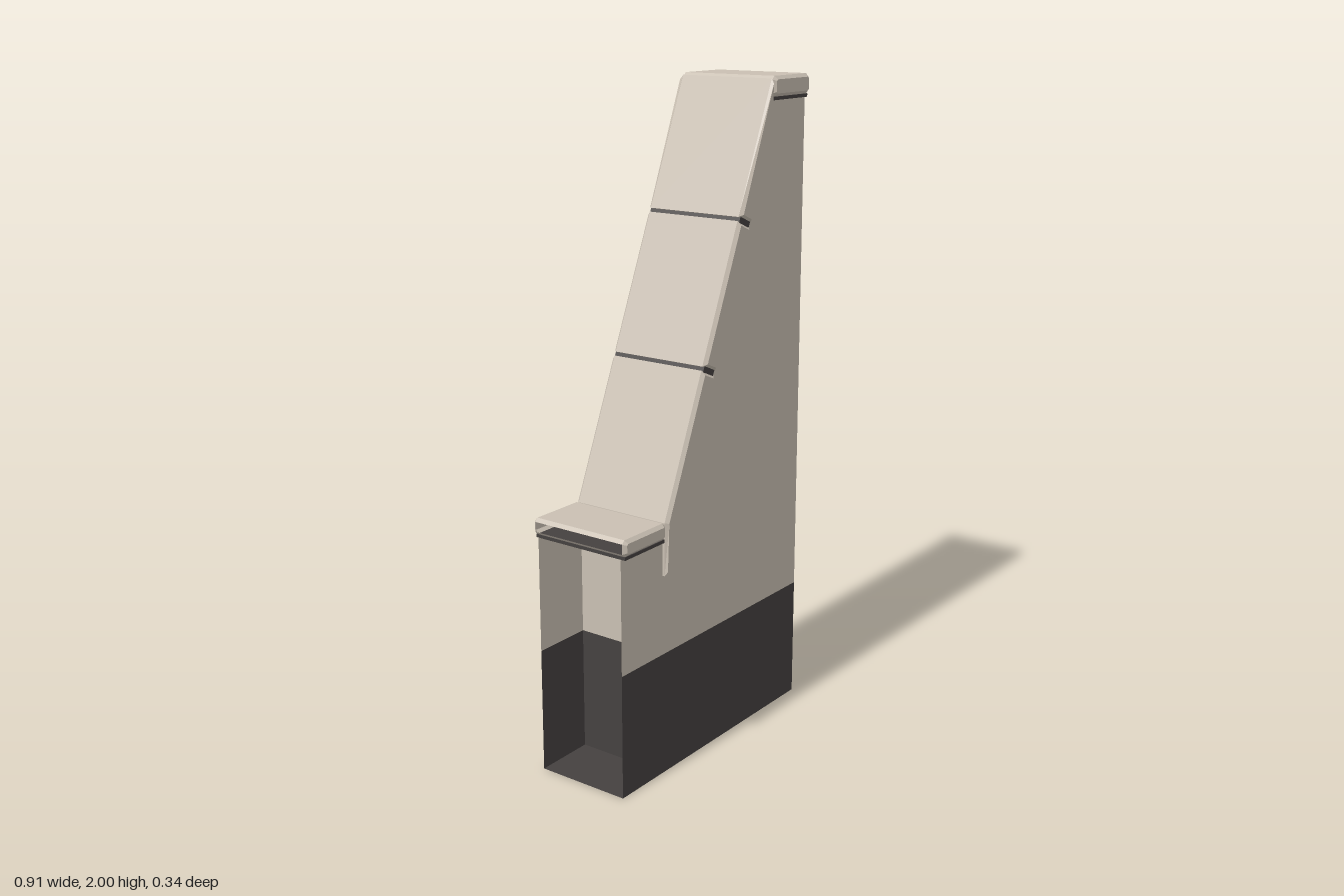
import * as THREE from 'three';

const beige = new THREE.MeshStandardMaterial({ name: 'stone', color: 0xcac0b3, side: THREE.DoubleSide });
const dark = new THREE.MeshStandardMaterial({ name: 'darkPlinth', color: 0x454140, side: THREE.DoubleSide });

const HX = 0.45, HZ = 0.15, INNER = 0.26, PLINTH = 0.38, CAP_Z = 0.168, BEVEL = 0.01;

function shapeOf(points) {
  return new THREE.Shape(points.map(([x, y]) => new THREE.Vector2(x, y)));
}

// Chamfered slab with an outline in the x-y plane, centred on z = 0
function slab(points) {
  const depth = 2 * (CAP_Z - BEVEL);
  const geo = new THREE.ExtrudeGeometry(shapeOf(points), {
    depth, bevelEnabled: true, bevelSegments: 1,
    bevelThickness: BEVEL, bevelSize: BEVEL, bevelOffset: -BEVEL,
  });
  geo.translate(0, 0, -depth / 2);
  return geo;
}

// Remove the flat end face lying on the plane x = endX
function openEnd(geo, endX) {
  const p = geo.attributes.position;
  const kept = [];
  for (let i = 0; i < p.count; i += 3) {
    const onEnd = [0, 1, 2].every((k) => Math.abs(p.getX(i + k) - endX) < 1e-4);
    if (onEnd) continue;
    for (let k = 0; k < 3; k++) kept.push(p.getX(i + k), p.getY(i + k), p.getZ(i + k));
  }
  const out = new THREE.BufferGeometry();
  out.setAttribute('position', new THREE.Float32BufferAttribute(kept, 3));
  out.computeVertexNormals();
  return out;
}

export function createModel() {
  const group = new THREE.Group();
  const add = (name, geo, mat) => {
    const mesh = new THREE.Mesh(geo, mat);
    mesh.name = name;
    group.add(mesh);
    return mesh;
  };

  // Side walls with a dark plinth; both ends stay open
  const wallOutline = [
    [-HX, PLINTH], [HX, PLINTH], [HX, 1.93], [INNER, 1.93],
    [INNER, 1.86], [-INNER, 0.66], [-INNER, 0.73], [-HX, 0.73],
  ];
  for (const [side, s] of [['front', 1], ['back', -1]]) {
    const wall = add(side + 'Wall', new THREE.ShapeGeometry(shapeOf(wallOutline)), beige);
    wall.position.z = s * HZ;
    const plinth = add(side + 'Plinth', new THREE.PlaneGeometry(2 * HX, PLINTH), dark);
    plinth.position.set(0, PLINTH / 2, s * HZ);
    if (s < 0) {
      // turn the plane outward; the wall keeps its outline and flips its winding
      plinth.rotation.y = Math.PI;
      wall.geometry.index.array.reverse();
      wall.geometry.computeVertexNormals();
    }
  }
  const floor = add('floor', new THREE.PlaneGeometry(2 * HX, 2 * HZ), dark);
  floor.rotation.x = Math.PI / 2;

  // Cross walls, end caps and the shadow gaps beneath the caps
  for (const [name, s, capBottom, capTop] of [['high', 1, 1.94, 2], ['low', -1, 0.738, 0.788]]) {
    const wallTop = capBottom - 0.005;
    for (const [part, y0, y1, mat] of [['CrossWall', PLINTH, wallTop, beige], ['CrossPlinth', 0, PLINTH, dark]]) {
      const cross = add(name + part, new THREE.PlaneGeometry(2 * HZ, y1 - y0), mat);
      cross.rotation.y = s * Math.PI / 2;
      cross.position.set(s * INNER, (y0 + y1) / 2, 0);
    }
    const outer = s * 0.453;
    const x0 = Math.min(s * INNER, outer), x1 = Math.max(s * INNER, outer), b = BEVEL;
    const capOutline = [
      [x0 + b, capBottom], [x1 - b, capBottom], [x1, capBottom + b], [x1, capTop - b],
      [x1 - b, capTop], [x0 + b, capTop], [x0, capTop - b], [x0, capBottom + b],
    ];
    add(name + 'Cap', openEnd(slab(capOutline), outer), beige);
    const gap = add(name + 'CapGap', new THREE.BoxGeometry(0.18, 0.01, 0.324), dark);
    gap.position.set(s * 0.355, capBottom - 0.004, 0);
  }

  // Sloping coping in three slabs with dark joints square to the slope
  const start = new THREE.Vector2(-INNER, 0.785), end = new THREE.Vector2(INNER, 2);
  const dir = end.clone().sub(start).normalize();
  const normal = new THREE.Vector2(dir.y, -dir.x); // points into the wall
  const thick = 0.165 * dir.x;
  const slopePoint = (x, along, depth) => {
    const t = (x - start.x) / dir.x + along;
    return start.clone().addScaledVector(dir, t).addScaledVector(normal, depth).toArray();
  };
  const joints = [-0.082, 0.092], half = 0.006;
  const lowerEnd = (i) => (i === 0
    ? [[-INNER, 0.785], [-INNER, 0.625]]
    : [slopePoint(joints[i - 1], half, 0), slopePoint(joints[i - 1], half, thick)]);
  const upperEnd = (i) => (i === 2
    ? [[INNER - 0.003, 1.83], [INNER - 0.003, 1.993]]
    : [slopePoint(joints[i], -half, thick), slopePoint(joints[i], -half, 0)]);
  for (let i = 0; i < 3; i++) {
    add('slopeCoping' + (i + 1), slab([...lowerEnd(i), ...upperEnd(i)]), beige);
  }
  joints.forEach((x, i) => {
    const joint = add('copingJoint' + (i + 1), new THREE.BoxGeometry(0.02, thick - 0.012, 0.322), dark);
    const [px, py] = slopePoint(x, 0, thick / 2);
    joint.position.set(px, py, 0);
    joint.rotation.z = Math.atan2(dir.y, dir.x);
  });

  return group;
}
